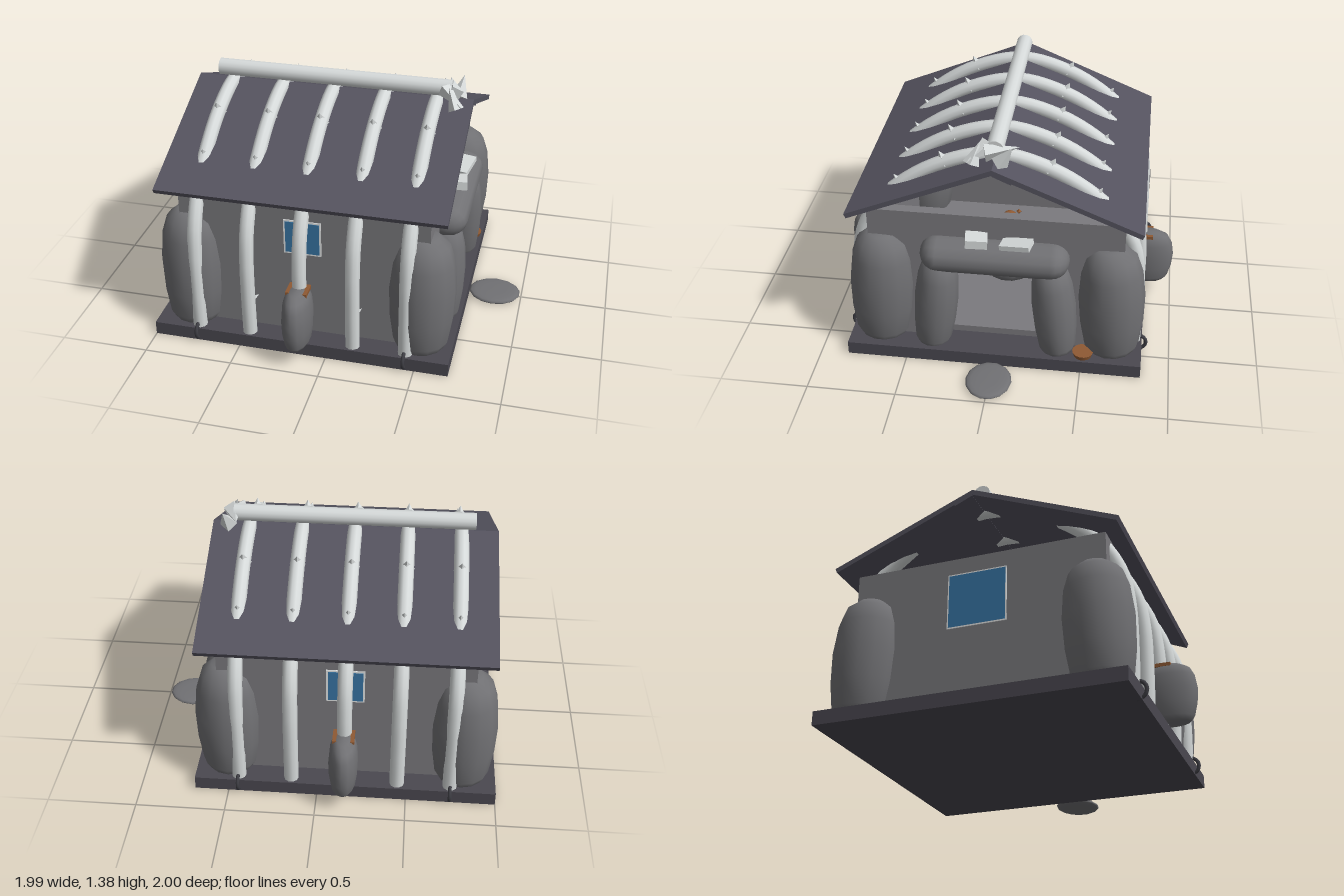
import * as THREE from 'three';

const mat = (name, color) => {
  const m = new THREE.MeshStandardMaterial({ color });
  m.name = name;
  return m;
};

export function createModel() {
  const model = new THREE.Group();
  const M = {
    slab: mat('dark slab', 0x4a4850),
    roof: mat('slate roof', 0x55535f),
    wall: mat('grey wall', 0x7b7a7e),
    stone: mat('boulder grey', 0x717174),
    bone: mat('bone white', 0xd6dada),
    glass: mat('blue', 0x3876a6),
    frame: mat('pale frame', 0xeef0f0),
    iron: mat('iron', 0x3f3f45),
    brown: mat('brown', 0x8f5a34),
  };

  const add = (name, geo, material, x = 0, y = 0, z = 0, rx = 0, ry = 0, rz = 0) => {
    const mesh = new THREE.Mesh(geo, material);
    mesh.name = name;
    mesh.position.set(x, y, z);
    mesh.rotation.set(rx, ry, rz);
    model.add(mesh);
    return mesh;
  };
  // Box given by its lower and upper corners
  const box = (name, m, x0, x1, y0, y1, z0, z1) =>
    add(name, new THREE.BoxGeometry(x1 - x0, y1 - y0, z1 - z0), m, (x0 + x1) / 2, (y0 + y1) / 2, (z0 + z1) / 2);
  // Rounded boulder, a lathe scaled to width, height and depth
  const stoneGeo = (w, h, d) => {
    const profile = [[0, -0.5], [0.34, -0.5], [0.42, -0.42], [0.48, -0.2], [0.5, 0.05], [0.46, 0.28], [0.38, 0.42], [0.22, 0.495], [0, 0.5]];
    const g = new THREE.LatheGeometry(profile.map(p => new THREE.Vector2(...p)), 14);
    return g.scale(w, h, d);
  };
  // Pointed spike between two points
  const spike = (name, from, to, r, sides = 4) => {
    const a = new THREE.Vector3(...from), b = new THREE.Vector3(...to);
    const dir = b.clone().sub(a);
    const g = new THREE.ConeGeometry(r, dir.length(), sides).toNonIndexed();
    g.computeVertexNormals();
    const s = add(name, g, M.bone);
    s.position.copy(a).addScaledVector(dir, 0.5);
    s.quaternion.setFromUnitVectors(new THREE.Vector3(0, 1, 0), dir.normalize());
  };

  // Base slab, inner floor and doorstep
  box('baseSlab', M.slab, -1, 0.69, 0.012, 0.09, -0.84, 0.84);
  box('innerFloor', M.wall, -0.82, 0.5, 0.09, 0.13, -0.68, 0.68);
  add('doorstep', stoneGeo(0.27, 0.035, 0.26), M.stone, 0.84, 0.028, 0).scale.x = 1.13;

  // Walls, open at the gables, with a doorway at +x
  for (const s of [-1, 1]) {
    box('longWall', M.wall, -0.85, 0.55, 0.09, 0.93, s > 0 ? 0.68 : -0.71, s > 0 ? 0.71 : -0.68);
    box('doorWall', M.wall, 0.49, 0.55, 0.09, 0.93, s > 0 ? 0.27 : -0.68, s > 0 ? 0.68 : -0.27);
  }
  box('overDoorWall', M.wall, 0.49, 0.55, 0.68, 0.93, -0.27, 0.27);
  box('backWall', M.wall, -0.85, -0.82, 0.09, 0.93, -0.68, 0.68);

  // Windows: thin frame and pane plates
  for (const s of [-1, 1]) {
    add('windowFrame', new THREE.BoxGeometry(0.21, 0.21, 0.006), M.frame, -0.15, 0.702, s * 0.712);
    add('windowPane', new THREE.BoxGeometry(0.19, 0.19, 0.008), M.glass, -0.15, 0.702, s * 0.714);
  }
  for (const x of [-0.852, -0.818]) {
    add('endWindowFrame', new THREE.BoxGeometry(0.006, 0.32, 0.335), M.frame, x, 0.675, 0);
    add('endWindowPane', new THREE.BoxGeometry(0.009, 0.305, 0.32), M.glass, x, 0.675, 0);
  }

  // Roof: two pitched panels meeting at the ridge
  for (const s of [-1, 1]) {
    const section = new THREE.Shape([[0, 1.285], [0.808, 0.95], [0.797, 0.924], [0, 1.254]].map(p => new THREE.Vector2(p[0], p[1])));
    const g = new THREE.ExtrudeGeometry(section, { depth: 1.6, bevelEnabled: false });
    add('roofPanel', g, M.roof, s > 0 ? 0.65 : -0.95, 0, 0, 0, -s * Math.PI / 2, 0);
  }
  add('ridgeFlap', new THREE.BoxGeometry(1.6, 0.02, 0.11), M.roof, -0.15, 1.235, -0.055, -0.42);

  // Rib bones arching from the slab over the roof
  const half = [[0.79, 0.07], [0.795, 0.3], [0.79, 0.55], [0.76, 0.73], [0.68, 0.89], [0.55, 1.03], [0.3, 1.19]];
  const arch = [...half, [0, 1.268], ...half.slice().reverse().map(([z, y]) => [-z, y])];
  const ribCurve = new THREE.CatmullRomCurve3(arch.map(([z, y]) => new THREE.Vector3(0, y, z)));
  const ribGeo = new THREE.TubeGeometry(ribCurve, 56, 0.041, 10);
  for (let i = 0; i < 5; i++) {
    const x = -0.745 + i * 0.297;
    add('ribBone', ribGeo, M.bone, x);
    for (const s of [-1, 1]) {
      spike('ribSpikeUpper', [x, 1.19, s * 0.275], [x, 1.262, s * 0.315], 0.045);
      spike('ribSpikeLower', [x, 1.04, s * 0.53], [x, 1.1, s * 0.57], 0.035);
      spike('ribSpikeInner', [x, 0.29, s * 0.78], [x + 0.035, 0.29, s * 0.71], 0.025);
    }
  }

  // Ridge bone with horns at its door end
  add('ridgeBone', new THREE.CylinderGeometry(0.048, 0.048, 1.35, 14), M.bone, -0.147, 1.342, 0, 0, 0, Math.PI / 2);
  spike('ridgeHorn', [0.57, 1.27, 0.12], [0.52, 1.378, 0.08], 0.045);
  spike('ridgeHorn', [0.56, 1.28, -0.03], [0.58, 1.385, -0.1], 0.05);
  spike('ridgeHorn', [0.55, 1.33, 0.05], [0.5, 1.35, -0.13], 0.05);
  spike('ridgeHorn', [0.49, 1.35, 0.04], [0.6, 1.29, 0.14], 0.045);

  for (const s of [-1, 1]) {
    // Corner boulders and door uprights
    for (const x of [-0.805, 0.505])
      add('cornerBoulder', stoneGeo(0.375, 0.7, 0.38), M.stone, x, 0.42, s * 0.65, s * -0.04);
    add('doorUpright', stoneGeo(0.27, 0.6, 0.25), M.stone, 0.56, 0.365, s * 0.335, s * -0.09);
    // Side boulder with brown collar
    add('sideBoulder', stoneGeo(0.165, 0.34, 0.31), M.stone, -0.15, 0.28, s * 0.845);
    box('boulderCollar', M.brown, -0.21, -0.09, 0.425, 0.445, s > 0 ? 0.77 : -0.87, s > 0 ? 0.87 : -0.77);
    // Iron rings on the slab edge
    for (const x of [-0.745, 0.443])
      add('ironRing', new THREE.TorusGeometry(0.049, 0.011, 6, 16), M.iron, x, 0.07, s * 0.815, 0, Math.PI / 2, 0);
  }

  // Door lintel with bone fragments on top
  add('lintel', stoneGeo(0.2, 0.84, 0.27), M.stone, 0.56, 0.69, 0, Math.PI / 2, Math.PI / 2, 0).rotation.set(Math.PI / 2, 0, 0);
  model.children.at(-1).geometry.dispose();
  const lintelGeo = new THREE.CapsuleGeometry(0.1, 0.63, 5, 14).rotateX(Math.PI / 2).scale(1.3, 1, 1);
  model.children.at(-1).geometry = lintelGeo;
  model.children.at(-1).rotation.set(0, 0, 0);
  add('boneFragment', new THREE.BoxGeometry(0.1, 0.05, 0.12), M.bone, 0.6, 0.81, 0.095, -0.08, 0.15, 0);
  add('boneFragment', new THREE.BoxGeometry(0.09, 0.03, 0.17), M.bone, 0.6, 0.8, -0.125, 0.15, -0.2, 0);

  // Hearth and cauldron inside
  add('hearthStone', stoneGeo(0.34, 0.15, 0.34), M.stone, -0.1, 0.195, 0);
  add('cauldron', new THREE.CylinderGeometry(0.165, 0.125, 0.13, 20), M.iron, -0.1, 0.33, 0);
  add('cauldronWater', new THREE.CylinderGeometry(0.15, 0.15, 0.008, 20), M.glass, -0.1, 0.397, 0);
  // Brown ball over the cauldron, with crumbs
  add('brownBall', new THREE.SphereGeometry(0.05, 14, 10), M.brown, -0.1, 0.5, 0);
  for (const [y, z] of [[0.555, -0.055], [0.475, -0.06]])
    add('crumb', new THREE.OctahedronGeometry(0.017), M.brown, -0.1, y, z);
  // Brown dish by the door
  add('brownDish', new THREE.CylinderGeometry(0.06, 0.05, 0.03, 14), M.brown, 0.625, 0.103, -0.51);

  return model;
}
